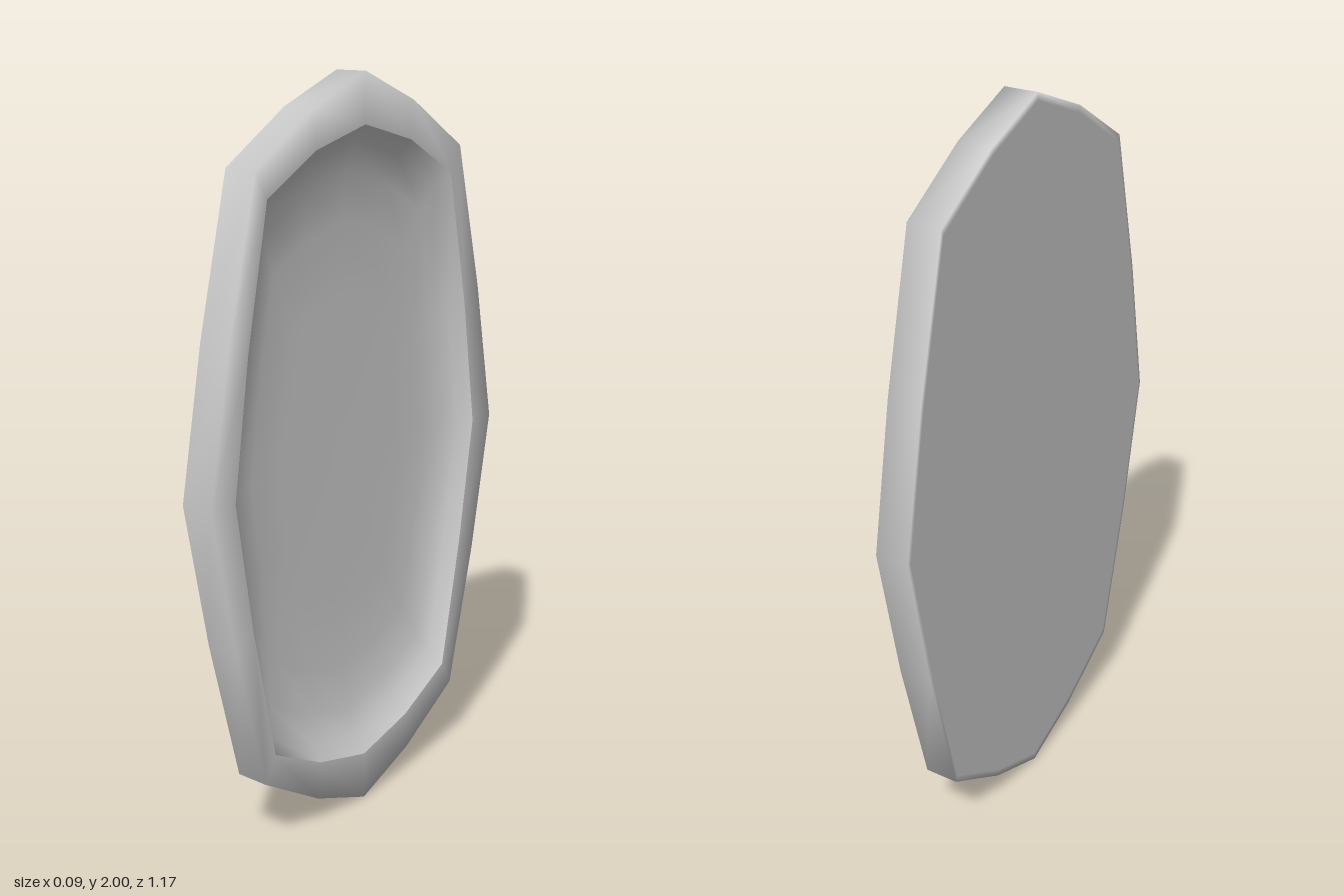
import * as THREE from 'three';

// Half outlines as [z, y], from the top tip down to the bottom tip
const OUTER = [[0, 2], [0.2, 1.92], [0.41, 1.79], [0.51, 1.39], [0.585, 1], [0.51, 0.61], [0.41, 0.21], [0.2, 0.08], [0, 0]];
const INNER = [[0, 1.87], [0.19, 1.82], [0.37, 1.72], [0.445, 1.36], [0.5, 1], [0.445, 0.65], [0.37, 0.28], [0.19, 0.185], [0, 0.135]];

// Mirror a half outline into a closed loop
const closeLoop = (half) => [...half, ...half.slice(1, -1).reverse().map(([z, y]) => [-z, y])];

// Loop shrunk towards the middle and placed at depth x
const ring = (half, scale, x) => closeLoop(half).map(([z, y]) => [x, 1 + (y - 1) * scale, z * scale]);

// Smooth skin through successive rings
function loft(rings) {
  const n = rings[0].length;
  const index = [];
  for (let i = 0; i < rings.length - 1; i++) {
    for (let j = 0; j < n; j++) {
      const k = (j + 1) % n;
      const a = i * n + j, b = i * n + k, c = b + n, d = a + n;
      index.push(a, b, d, b, c, d);
    }
  }
  const geometry = new THREE.BufferGeometry();
  geometry.setAttribute('position', new THREE.Float32BufferAttribute(rings.flat(2), 3));
  geometry.setIndex(index);
  geometry.computeVertexNormals();
  return geometry;
}

export function createModel() {
  const group = new THREE.Group();
  group.name = 'shallowTray';
  const material = new THREE.MeshStandardMaterial({ color: 0xcccccc, side: THREE.DoubleSide });
  const back = -0.048, front = 0.046;

  const add = (name, rings) => {
    const mesh = new THREE.Mesh(loft(rings), material);
    mesh.name = name;
    group.add(mesh);
  };

  // Flat back, side wall and front rim
  add('outerShell', [
    ring(OUTER, 0.001, back),
    ring(OUTER, 0.98, back),
    ring(OUTER, 1, back),
    ring(OUTER, 1, front),
    ring(INNER, 1, front),
  ]);

  // Hollow that eases into a flat floor
  add('bowl', [
    ring(INNER, 1, front),
    ring(INNER, 0.95, 0.008),
    ring(INNER, 0.86, -0.018),
    ring(INNER, 0.72, -0.032),
    ring(INNER, 0.5, -0.036),
    ring(INNER, 0.001, -0.036),
  ]);

  return group;
}
